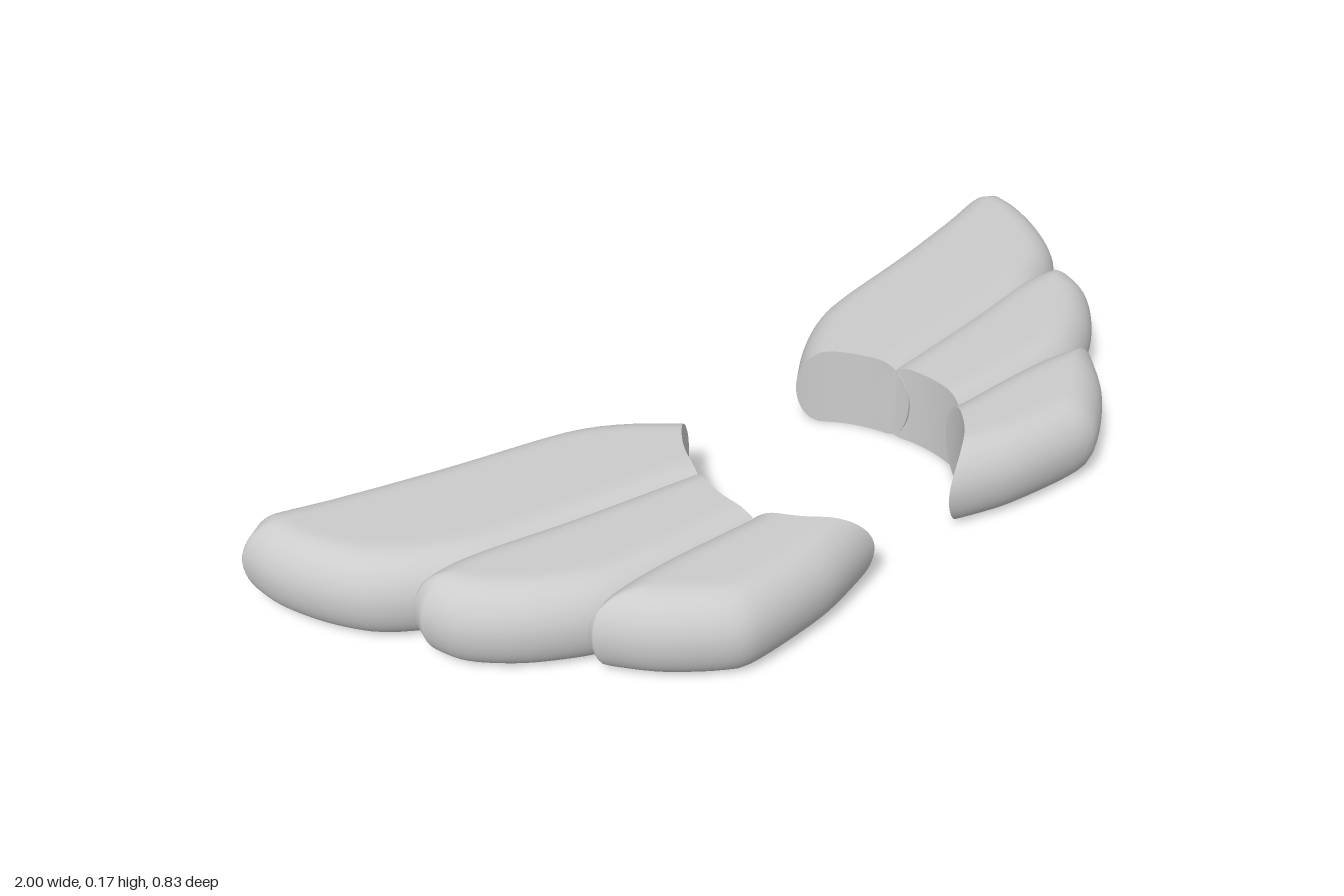
import * as THREE from 'three';
import { mergeVertices } from 'three/addons/utils/BufferGeometryUtils.js';

const HALF = 0.086;          // half of the wing thickness
const TOP_R = 0.075, BOTTOM_R = 0.055; // width of the rounded rims
const NU = 40, NV = 32;      // steps root to tip, leading to trailing edge
const CENTRE = [-0.01, 0.105]; // centre of the round cut at the root

// Plan outlines [x, z]: leading and trailing edge of each feather, root to tip
const FEATHERS = {
  upperFeather: {
    lead: [[0.14, -0.14], [0.21, -0.20], [0.29, -0.25], [0.38, -0.28], [0.6, -0.32], [0.8, -0.365], [0.91, -0.395], [0.95, -0.39]],
    trail: [[0.255, 0.07], [0.5, 0.04], [0.7, 0.01], [0.79, -0.03], [0.85, -0.065], [0.9, -0.11], [0.95, -0.19], [0.985, -0.28], [0.995, -0.355]],
  },
  middleFeather: {
    lead: [[0.235, 0], [0.5, -0.03], [0.7, -0.06], [0.8, -0.055], [0.83, -0.035]],
    trail: [[0.245, 0.235], [0.45, 0.235], [0.58, 0.222], [0.66, 0.19], [0.74, 0.14], [0.81, 0.07], [0.838, 0]],
  },
  lowerFeather: {
    lead: [[0.255, 0.175], [0.45, 0.175], [0.57, 0.188], [0.63, 0.212]],
    trail: [[0.085, 0.345], [0.17, 0.375], [0.25, 0.395], [0.4, 0.41], [0.46, 0.395], [0.56, 0.32], [0.635, 0.23]],
  },
};

const lerp = THREE.MathUtils.lerp;
const curve = (pts) => new THREE.SplineCurve(pts.map(([x, z]) => new THREE.Vector2(x, z)));

// Distance from p to the segment ab
function segmentDistance(p, a, b) {
  const dx = b.x - a.x, dy = b.y - a.y;
  const t = THREE.MathUtils.clamp(((p.x - a.x) * dx + (p.y - a.y) * dy) / (dx * dx + dy * dy || 1), 0, 1);
  return Math.hypot(p.x - a.x - t * dx, p.y - a.y - t * dy);
}

// Quarter-round rise from the rim, flat further in
const rise = (d, r) => HALF * Math.sqrt(1 - (1 - Math.min(d / r, 1)) ** 2);

// Grid of plan points; the first row lies on the round cut
function planGrid({ lead, trail }) {
  const L = curve(lead), T = curve(trail);
  const polar = ([x, z]) => [Math.atan2(z - CENTRE[1], x - CENTRE[0]), Math.hypot(x - CENTRE[0], z - CENTRE[1])];
  const [a0, r0] = polar(lead[0]), [a1, r1] = polar(trail[0]);
  const rows = [];
  for (let i = 0; i <= NU; i++) {
    const u = Math.sin((Math.PI / 2) * (i / NU));
    const l = L.getPointAt(u), t = T.getPointAt(u), row = [];
    for (let j = 0; j <= NV; j++) {
      const v = (1 - Math.cos((Math.PI * j) / NV)) / 2;
      const p = l.clone().lerp(t, v);
      const a = lerp(a0, a1, v), r = lerp(r0, r1, v), fade = (1 - u) ** 3;
      p.x += fade * (CENTRE[0] + r * Math.cos(a) - lerp(lead[0][0], trail[0][0], v));
      p.y += fade * (CENTRE[1] + r * Math.sin(a) - lerp(lead[0][1], trail[0][1], v));
      row.push(p);
    }
    rows.push(row);
  }
  return rows;
}

function geometryFrom(positions, index, flip) {
  const g = new THREE.BufferGeometry();
  g.setAttribute('position', new THREE.Float32BufferAttribute(positions, 3));
  g.setIndex(flip ? index.slice().reverse() : index);
  const merged = mergeVertices(g, 1e-5);
  merged.computeVertexNormals();
  return merged;
}

// Pillow-shaped feather plus the flat wall at its root
function feather(name, outline, place, flip, material) {
  const rows = planGrid(outline);
  const rim = [...rows.map((r) => r[0]), ...rows[NU].slice(1), ...rows.map((r) => r[NV]).reverse().slice(1)];
  const w = NV + 1, layer = w * (NU + 1);
  const top = [], bottom = [], index = [];
  for (const p of rows.flat()) {
    let d = Infinity;
    for (let k = 1; k < rim.length; k++) d = Math.min(d, segmentDistance(p, rim[k - 1], rim[k]));
    const [x, z] = place(p.x, p.y);
    top.push(x, HALF + rise(d, TOP_R), z);
    bottom.push(x, HALF - rise(d, BOTTOM_R), z);
  }
  for (let i = 0; i < NU; i++) {
    for (let j = 0; j < NV; j++) {
      const a = i * w + j, b = a + 1, c = a + w, d = c + 1, n = layer;
      index.push(a, b, c, b, d, c, a + n, c + n, b + n, b + n, c + n, d + n);
    }
  }
  const wall = [];
  for (let j = 0; j < NV; j++) wall.push(w + j, w + j + 1, j, w + j + 1, j + 1, j);

  const group = new THREE.Group();
  group.name = name;
  const body = new THREE.Mesh(geometryFrom([...top, ...bottom], index, flip), material);
  body.name = 'featherBody';
  const root = new THREE.Mesh(
    geometryFrom([...top.slice(0, w * 3), ...bottom.slice(0, w * 3)], wall, flip), material);
  root.name = 'rootWall';
  group.add(body, root);
  return group;
}

export function createModel() {
  const model = new THREE.Group();
  model.name = 'wings';
  const material = new THREE.MeshStandardMaterial({ color: 0xcccccc });

  // The right wing is the mirrored left wing, turned and shifted slightly
  const sides = {
    leftWing: { flip: false, place: (x, z) => [x, z] },
    rightWing: { flip: true, place: (x, z) => [-(x + 0.05 * z + 0.025), z - 0.05 * x + 0.018] },
  };
  for (const [side, { flip, place }] of Object.entries(sides)) {
    const wing = new THREE.Group();
    wing.name = side;
    for (const [name, outline] of Object.entries(FEATHERS)) {
      wing.add(feather(name, outline, place, flip, material));
    }
    model.add(wing);
  }
  return model;
}
